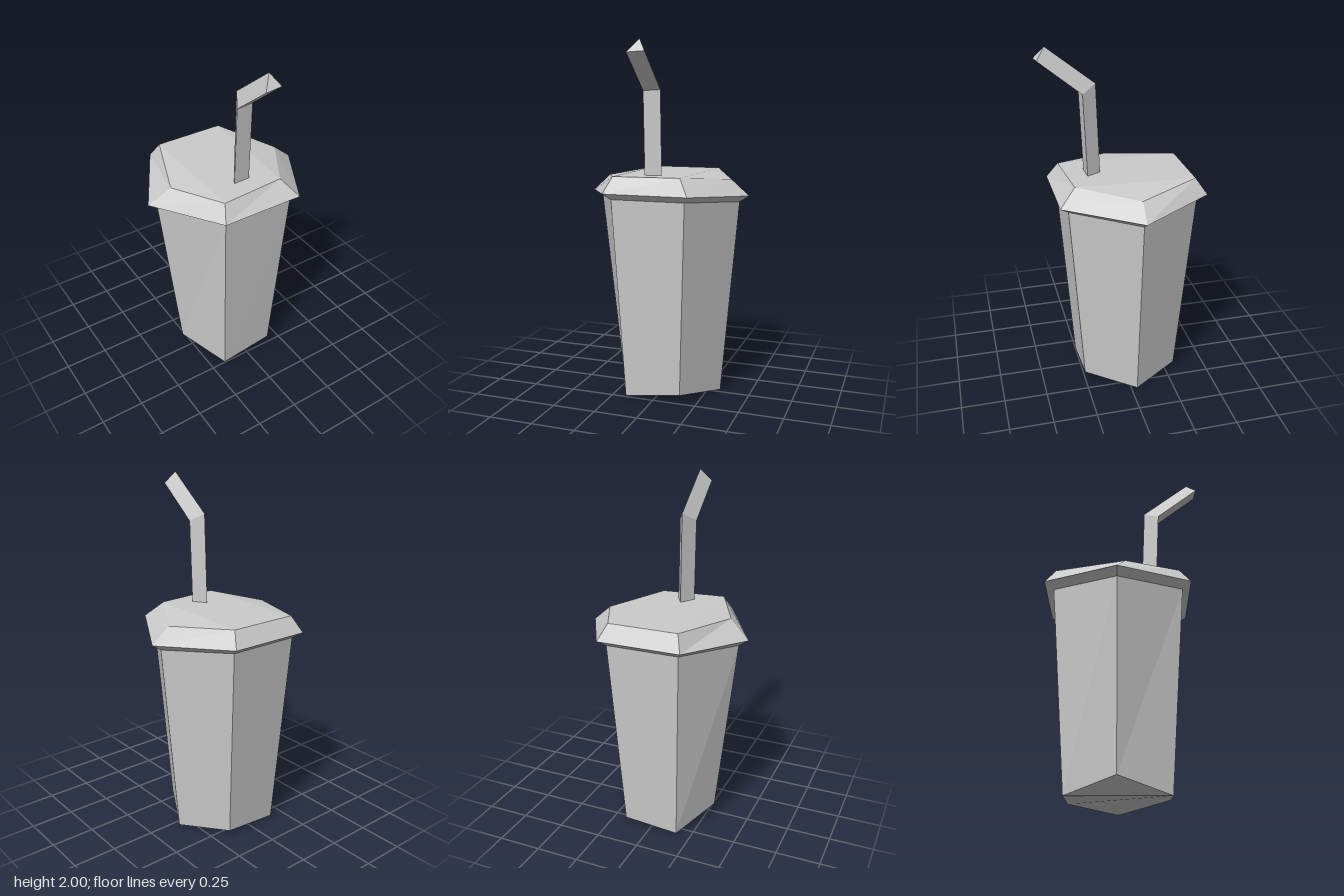
import * as THREE from 'three';

// Skin a stack of rings (bottom to top, corners counter-clockwise from above) and close both ends
function loft(name, rings, material) {
  const n = rings[0].length;
  const index = [];
  for (let r = 0; r < rings.length - 1; r++) {
    for (let i = 0; i < n; i++) {
      const a = r * n + i, b = r * n + (i + 1) % n;
      index.push(a, b, b + n, a, b + n, a + n);
    }
  }
  const cap = (start, up) => {
    const tri = (a, b, c) => index.push(start + a, start + (up ? b : c), start + (up ? c : b));
    let i = 0, j = n - 1;
    while (j - i > 1) {
      tri(i, i + 1, j);
      i++;
      if (j - i > 1) {
        tri(i, j - 1, j);
        j--;
      }
    }
  };
  cap(0, false);
  cap((rings.length - 1) * n, true);

  const indexed = new THREE.BufferGeometry();
  indexed.setAttribute('position', new THREE.Float32BufferAttribute(rings.flat(2), 3));
  indexed.setIndex(index);
  const geometry = indexed.toNonIndexed();
  geometry.computeVertexNormals();
  const mesh = new THREE.Mesh(geometry, material);
  mesh.name = name;
  return mesh;
}

// Six corners mirrored in x: right, back right, back left, left, front left, front right
const hexRing = (side, x, y, back, front) => [
  [side[0], side[1], -0.035], [x, y, back], [-x, y, back],
  [-side[0], side[1], -0.035], [-x, y, front], [x, y, front],
];

export function createModel() {
  const group = new THREE.Group();
  group.name = 'drinkCup';
  const material = new THREE.MeshStandardMaterial({ color: 0xcccccc, flatShading: true });

  // Tapered cup with an uneven foot
  const cupTop = hexRing([0.42, 1.125], 0.21, 1.155, -0.395, 0.33);
  const cupFoot = [
    [0.32, 0, -0.035], [0.16, 0.03, -0.31], [-0.165, 0.005, -0.31],
    [-0.30, 0.08, -0.035], [-0.165, 0.005, 0.25], [0.16, 0.05, 0.25],
  ];
  group.add(loft('cup', [cupFoot, cupTop], material));

  // Lid: lip flaring out from the cup, then sloping in to a crooked top
  const lidRim = hexRing([0.475, 1.16], 0.24, 1.19, -0.447, 0.378);
  const lidTop = [
    [0.37, 1.25, -0.04], [0.20, 1.28, -0.387], [-0.205, 1.28, -0.387],
    [-0.355, 1.258, 0.01], [-0.205, 1.28, 0.315], [0.17, 1.28, 0.285],
  ];
  group.add(loft('lid', [cupTop, lidRim, lidTop], material));

  // Three-sided bent straw: back ridge, left edge, right edge
  group.add(loft('straw', [
    [[-0.012, 1.265, 0.105], [-0.065, 1.265, 0.19], [0.033, 1.265, 0.185]],
    [[-0.012, 1.79, 0.125], [-0.065, 1.74, 0.21], [0.033, 1.745, 0.205]],
    [[-0.012, 2.0, 0.393], [-0.065, 1.93, 0.447], [0.033, 1.935, 0.44]],
  ], material));

  return group;
}
